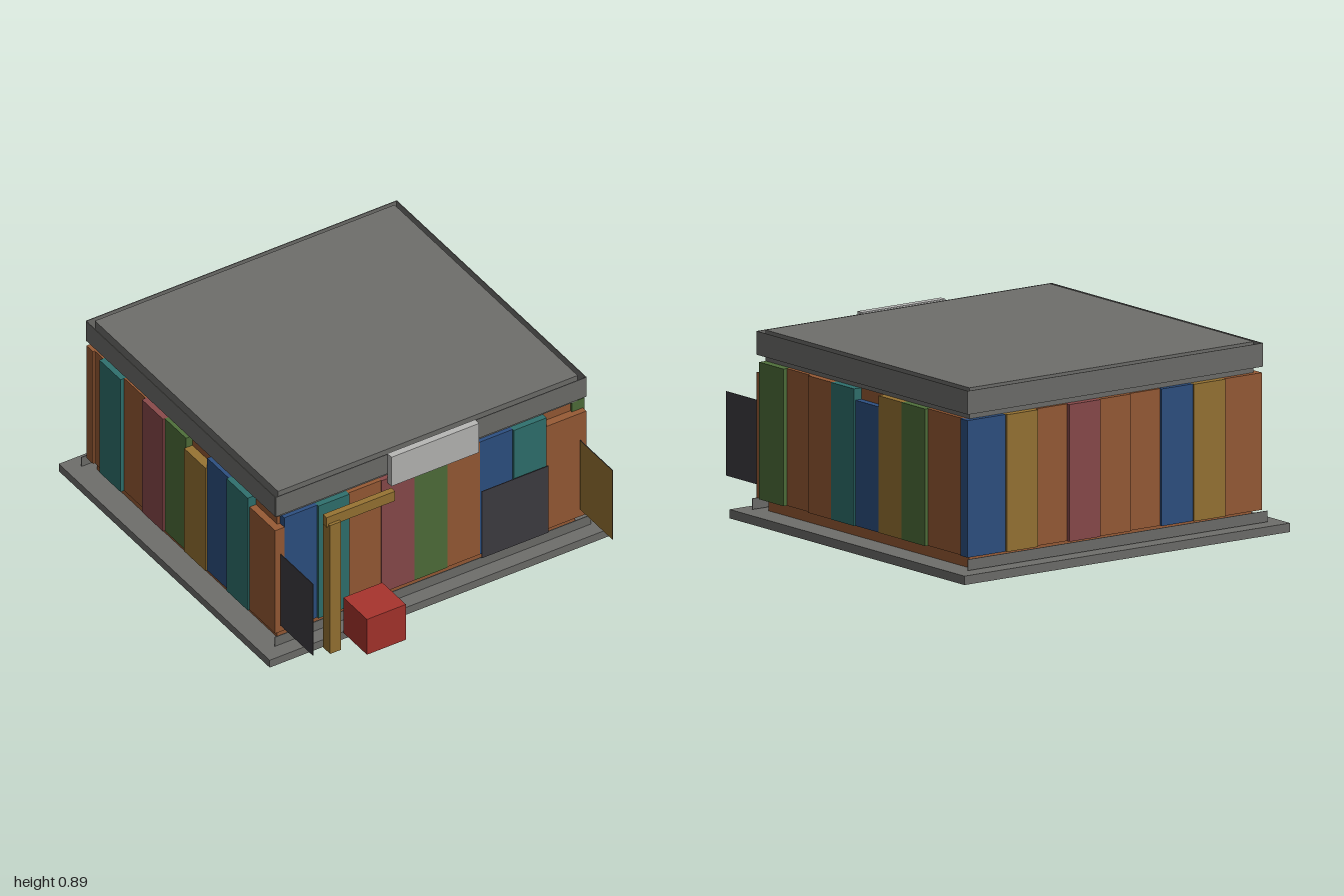
import * as THREE from 'three';

const mat = (name, color) => {
  const m = new THREE.MeshStandardMaterial({ color, side: THREE.DoubleSide });
  m.name = name;
  return m;
};

export function createModel() {
  const root = new THREE.Group();
  root.name = 'bookBuilding';
  const M = {
    stone: mat('stone', 0x6e6e6b),
    brown: mat('brown', 0x985b35),
    blue: mat('blue', 0x2d5082),
    teal: mat('teal', 0x2f716e),
    maroon: mat('maroon', 0x8a4a4b),
    green: mat('green', 0x4f6f3a),
    ochre: mat('ochre', 0x987433),
    red: mat('red', 0xa8342d),
    slate: mat('slate', 0x3e3c42),
    pale: mat('paleSign', 0xb8b8b6),
  };

  // box given by its limits on each axis
  const box = (name, m, [x0, x1], [y0, y1], [z0, z1], parent = root) => {
    const mesh = new THREE.Mesh(new THREE.BoxGeometry(x1 - x0, y1 - y0, z1 - z0), m);
    mesh.position.set((x0 + x1) / 2, (y0 + y1) / 2, (z0 + z1) / 2);
    mesh.name = name;
    parent.add(mesh);
    return mesh;
  };

  // base slab, core wall and roof slab
  box('baseSlab', M.stone, [-0.94, 0.94], [0, 0.042], [-1, 0.79]);
  box('coreWall', M.brown, [-0.815, 0.815], [0.042, 0.746], [-0.87, 0.66]);
  box('roofSlab', M.stone, [-0.82, 0.82], [0.746, 0.892], [-0.88, 0.675]);

  // thin plinth strips, front and back
  for (const z of [0.715, -0.925])
    box('plinthStrip', M.stone, [-0.865, 0.865], [0.045, 0.097], [z - 0.002, z + 0.002]);

  // thin parapet around the roof
  for (const z of [0.7, -0.908])
    box('parapet', M.stone, [-0.85, 0.85], [0.775, 0.886], [z - 0.002, z + 0.002]);
  for (const x of [-0.85, 0.85])
    box('parapet', M.stone, [x - 0.002, x + 0.002], [0.775, 0.886], [-0.908, 0.7]);

  // rows of books: [colour, from, to, protrusion, top]
  const TALL = 0.746, LOW = 0.692;
  const rows = {
    front: [
      ['brown', -0.85, -0.8, 0, LOW], ['blue', -0.8, -0.62, 0, TALL], ['teal', -0.62, -0.45, 0.01, TALL],
      ['brown', -0.45, -0.27, 0, TALL], ['maroon', -0.27, -0.09, 0.004, TALL], ['green', -0.09, 0.09, 0.004, TALL],
      ['brown', 0.09, 0.27, 0, TALL], ['blue', 0.27, 0.45, 0, TALL], ['teal', 0.45, 0.63, 0.01, TALL],
      ['brown', 0.63, 0.85, 0.005, LOW],
    ],
    back: [
      ['blue', 0.63, 0.85, 0, TALL], ['ochre', 0.45, 0.63, 0.01, TALL], ['brown', 0.27, 0.45, -0.01, TALL],
      ['maroon', 0.09, 0.27, 0.01, TALL], ['brown', -0.09, 0.09, 0, TALL], ['brown', -0.27, -0.09, -0.012, TALL],
      ['blue', -0.45, -0.27, 0, TALL], ['ochre', -0.63, -0.45, 0.01, TALL], ['brown', -0.85, -0.63, 0, TALL],
    ],
    right: [
      ['green', 0.485, 0.672, 0.01, TALL], ['brown', 0.305, 0.485, -0.01, TALL], ['brown', 0.125, 0.305, 0.004, TALL],
      ['teal', -0.05, 0.125, 0.007, TALL], ['blue', -0.23, -0.05, 0, LOW], ['ochre', -0.41, -0.23, 0.004, TALL],
      ['green', -0.59, -0.41, 0.006, TALL], ['brown', -0.87, -0.59, -0.01, TALL],
    ],
    left: [
      ['brown', -0.87, -0.78, -0.01, TALL], ['teal', -0.78, -0.6, 0.01, TALL], ['brown', -0.6, -0.42, -0.01, TALL],
      ['maroon', -0.42, -0.24, 0.01, TALL], ['green', -0.24, -0.06, 0, TALL], ['ochre', -0.06, 0.12, 0.01, LOW],
      ['blue', 0.12, 0.3, 0, TALL], ['teal', 0.3, 0.48, 0.01, TALL], ['brown', 0.48, 0.66, 0, LOW],
    ],
  };
  for (const [side, books] of Object.entries(rows)) {
    const g = new THREE.Group();
    g.name = side + 'Books';
    root.add(g);
    for (const [c, a, b, out, top] of books) {
      const y = [0.1, top];
      if (side === 'front') box('book', M[c], [a, b], y, [0.64, 0.697 + out], g);
      if (side === 'back') box('book', M[c], [a, b], y, [-0.905 - out, -0.85], g);
      if (side === 'right') box('book', M[c], [0.79, 0.85 + out], y, [a, b], g);
      if (side === 'left') box('book', M[c], [-0.85 - out, -0.79], y, [a, b], g);
    }
  }

  // pale sign over the entrance
  box('sign', M.pale, [-0.24, 0.24], [0.725, 0.892], [0.703, 0.738]);

  // dark front panel and the two side boards, ochre on their inner faces
  box('frontPanel', M.slate, [0.265, 0.63], [0.097, 0.48], [0.72, 0.724]);
  for (const [x, s, top] of [[0.81, 1, 0.547], [-0.83, -1, 0.56]]) {
    const board = box('sideBoard', M.slate, [x - 0.002, x + 0.002], [0.15, top], [0.712, 0.988]);
    board.material = Array(6).fill(M.slate);
    board.material[s > 0 ? 1 : 0] = M.ochre;
  }

  // post with arm, and the red crate hanging below it, open underneath
  box('post', M.ochre, [-0.68, -0.62], [0.042, 0.78], [0.84, 0.9]);
  box('postArm', M.ochre, [-0.69, -0.315], [0.765, 0.82], [0.853, 0.885]);
  const crate = box('redCrate', M.red, [-0.543, -0.33], [0.045, 0.248], [0.8, 1]);
  crate.geometry.setIndex(Array.from(crate.geometry.index.array).filter((_, i) => i < 18 || i >= 24));
  crate.geometry.clearGroups();

  return root;
}
